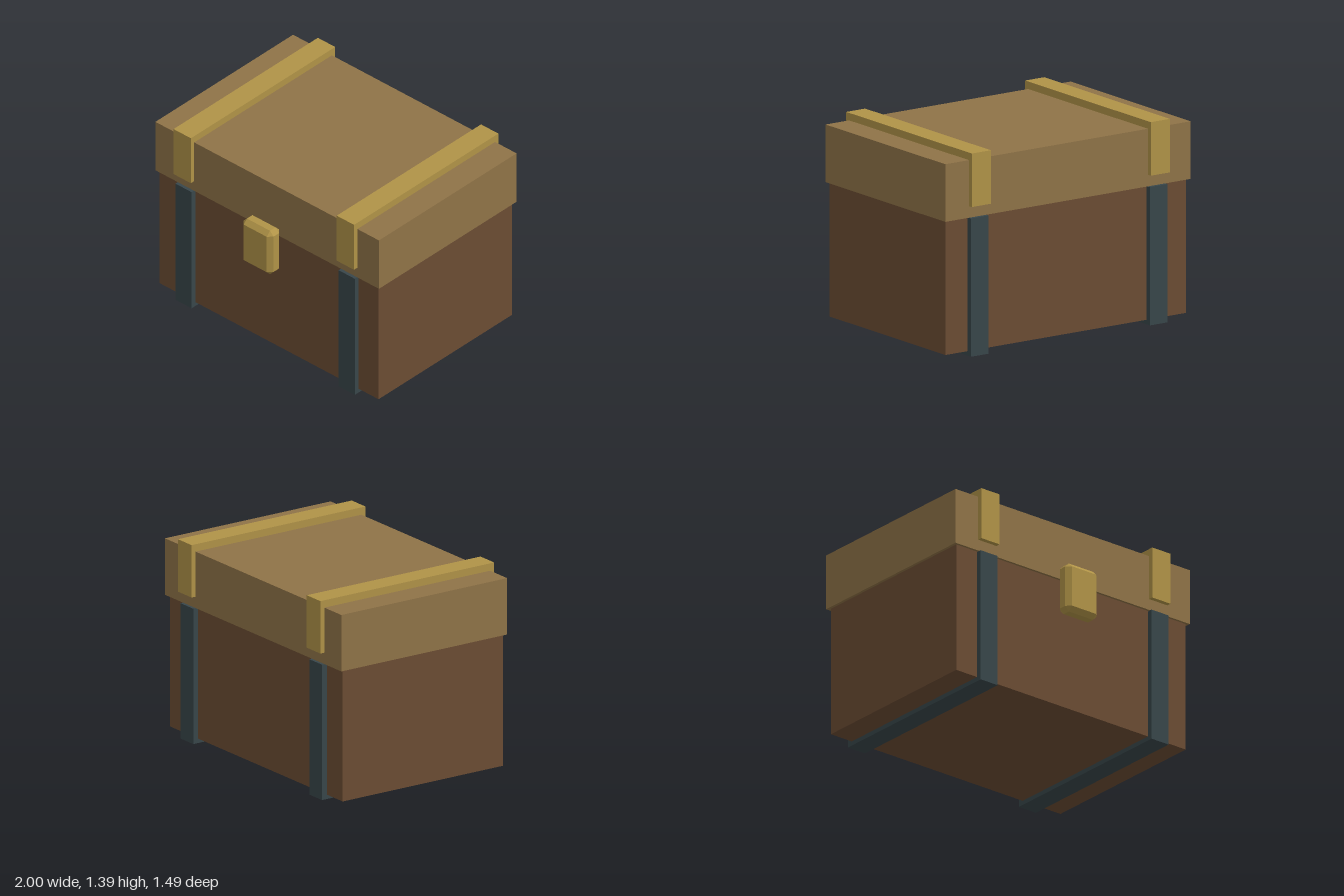
import * as THREE from 'three';
import { ConvexGeometry } from 'three/addons/geometries/ConvexGeometry.js';

const material = (color) => new THREE.MeshStandardMaterial({ color, flatShading: true });

export function createModel() {
  const group = new THREE.Group();
  const wood = material(0x6b4c33);
  const lidWood = material(0x8f7347);
  const brass = material(0xb09347);
  const iron = material(0x38464a);

  const add = (name, geometry, mat) => {
    const mesh = new THREE.Mesh(geometry, mat);
    mesh.name = name;
    group.add(mesh);
    return mesh;
  };

  // Box given by its extents along each axis
  const box = (name, [x0, x1], [y0, y1], [z0, z1], mat) =>
    add(name, new THREE.BoxGeometry(x1 - x0, y1 - y0, z1 - z0), mat)
      .position.set((x0 + x1) / 2, (y0 + y1) / 2, (z0 + z1) / 2);

  // U-shaped band running front to back; "end" is the height of its open
  // ends and "outer"/"inner" the heights of its closed side
  const strap = (name, x, width, front, back, end, outer, inner, mat) => {
    const profile = [
      [front[0], end], [front[0], outer], [back[0], outer], [back[0], end],
      [back[1], end], [back[1], inner], [front[1], inner], [front[1], end],
    ].map(([z, y]) => new THREE.Vector2(-z, y));
    const geometry = new THREE.ExtrudeGeometry(new THREE.Shape(profile), { depth: width, bevelEnabled: false });
    geometry.translate(0, 0, -width / 2).rotateY(Math.PI / 2);
    add(name, geometry, mat).position.x = x;
  };

  // Box with every edge and corner cut off
  const chamferedBox = (w, h, d, c) => {
    const points = [];
    for (const sx of [-1, 1]) for (const sy of [-1, 1]) for (const sz of [-1, 1]) {
      for (let axis = 0; axis < 3; axis++) {
        const p = [w / 2, h / 2, d / 2].map((s, i) => (i === axis ? s : s - c));
        points.push(new THREE.Vector3(p[0] * sx, p[1] * sy, p[2] * sz));
      }
    }
    return new ConvexGeometry(points);
  };

  // Chest body and overhanging lid
  box('body', [-0.98, 0.98], [0.03, 0.943], [-0.69, 0.612], wood);
  box('lid', [-1, 1], [0.943, 1.335], [-0.715, 0.63], lidWood);

  // Iron bands under the body, brass bands over the lid
  for (const [side, x] of [['left', 0.73], ['right', -0.73]]) {
    strap(`${side}BodyStrap`, x, 0.145, [0.65, 0.612], [-0.73, -0.69], 0.94, 0, 0.03, iron);
    strap(`${side}LidStrap`, x, 0.155, [0.663, 0.63], [-0.747, -0.715], 1.022, 1.386, 1.335, brass);
  }

  // Latch on the front
  add('latch', chamferedBox(0.27, 0.35, 0.118, 0.032), brass).position.set(0, 0.852, 0.688);

  return group;
}
